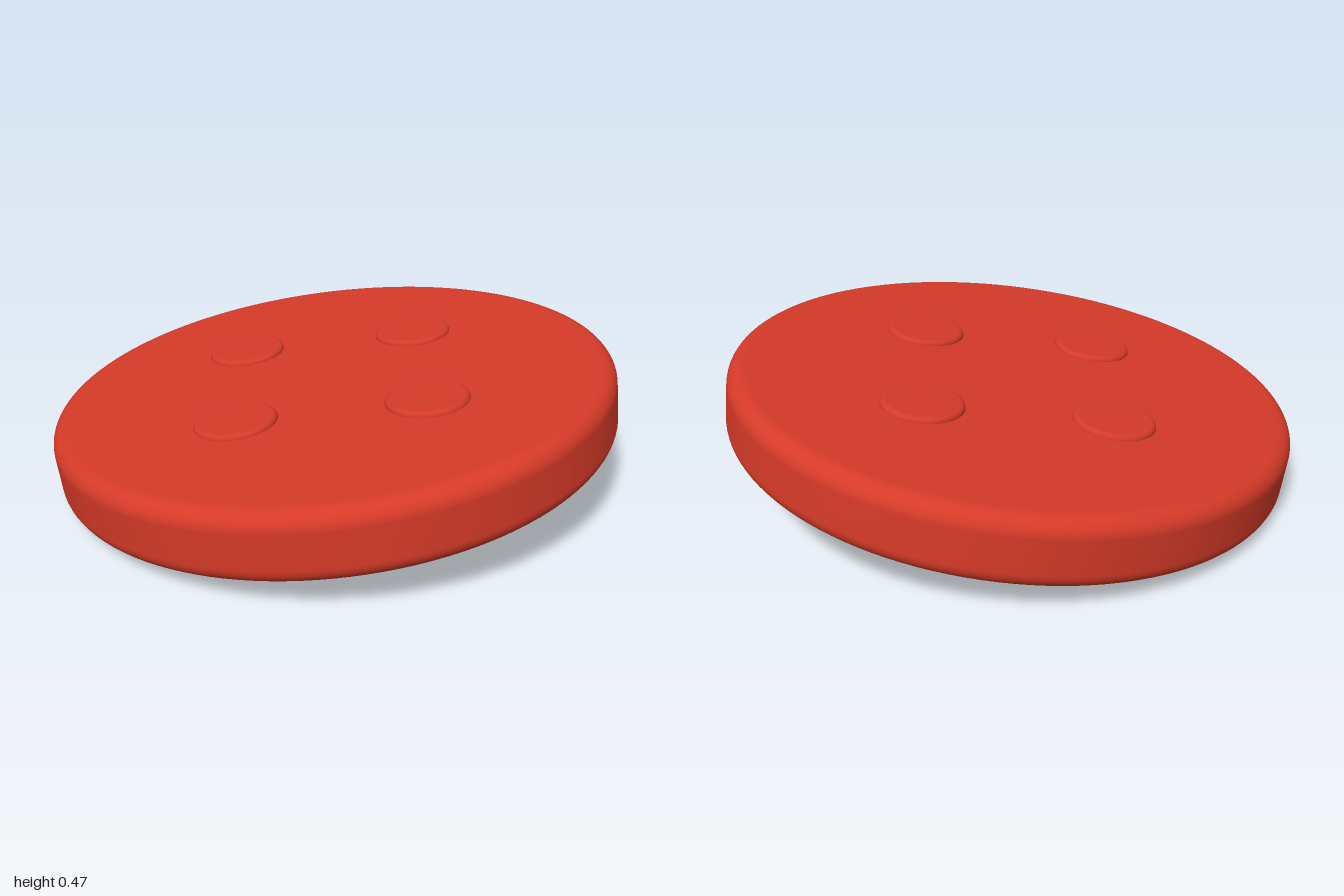
import * as THREE from 'three';

const R = 1, H = 0.12, F = 0.06; // radius, half thickness, edge rounding

// quarter-circle points around (cx, cy), from angle a0 to a1
function arc(cx, cy, r, a0, a1, n = 10) {
  return Array.from({ length: n + 1 }, (_, i) => {
    const a = a0 + (a1 - a0) * i / n;
    return new THREE.Vector2(cx + r * Math.cos(a), cy + r * Math.sin(a));
  });
}

export function createModel() {
  const model = new THREE.Group();
  const material = new THREE.MeshStandardMaterial({ color: 0xd63a28 });
  const V = (x, y) => new THREE.Vector2(x, y);
  const q = Math.PI / 2;

  // tilted disc carrying the four studs
  const piece = new THREE.Group();
  piece.name = 'tiltedPiece';
  piece.position.y = 0.235;
  piece.quaternion.setFromUnitVectors(
    new THREE.Vector3(0, 1, 0), new THREE.Vector3(-0.112, 1, 0.052).normalize());
  model.add(piece);

  // round body: shallow recess below, rounded rim, flat top
  const profile = [
    V(0, -H + 0.02), V(0.89, -H + 0.02), V(0.9, -H + 0.02),
    V(0.915, -H + 0.016), V(0.925, -H + 0.008), V(0.933, -H + 0.002),
    ...arc(R - F, -H + F, F, -q, 0),
    ...arc(R - F, H - F, F, 0, q),
    V(R - F - 0.01, H), V(0, H),
  ];
  const body = new THREE.Mesh(new THREE.LatheGeometry(profile, 128), material);
  body.name = 'discBody';
  piece.add(body);

  // four low studs with rounded edges
  const r = 0.143, h = 0.017;
  const studGeometry = new THREE.LatheGeometry([
    V(r, -0.02), V(r, 0), ...arc(r - h, 0, h, 0, q, 6).slice(1), V(r - h - 0.004, h), V(0, h),
  ], 48);
  for (let i = 0; i < 4; i++) {
    const a = 0.27 + i * q;
    const stud = new THREE.Mesh(studGeometry, material);
    stud.name = 'stud' + (i + 1);
    stud.position.set(0.455 * Math.cos(a), H, 0.455 * Math.sin(a));
    piece.add(stud);
  }
  return model;
}
